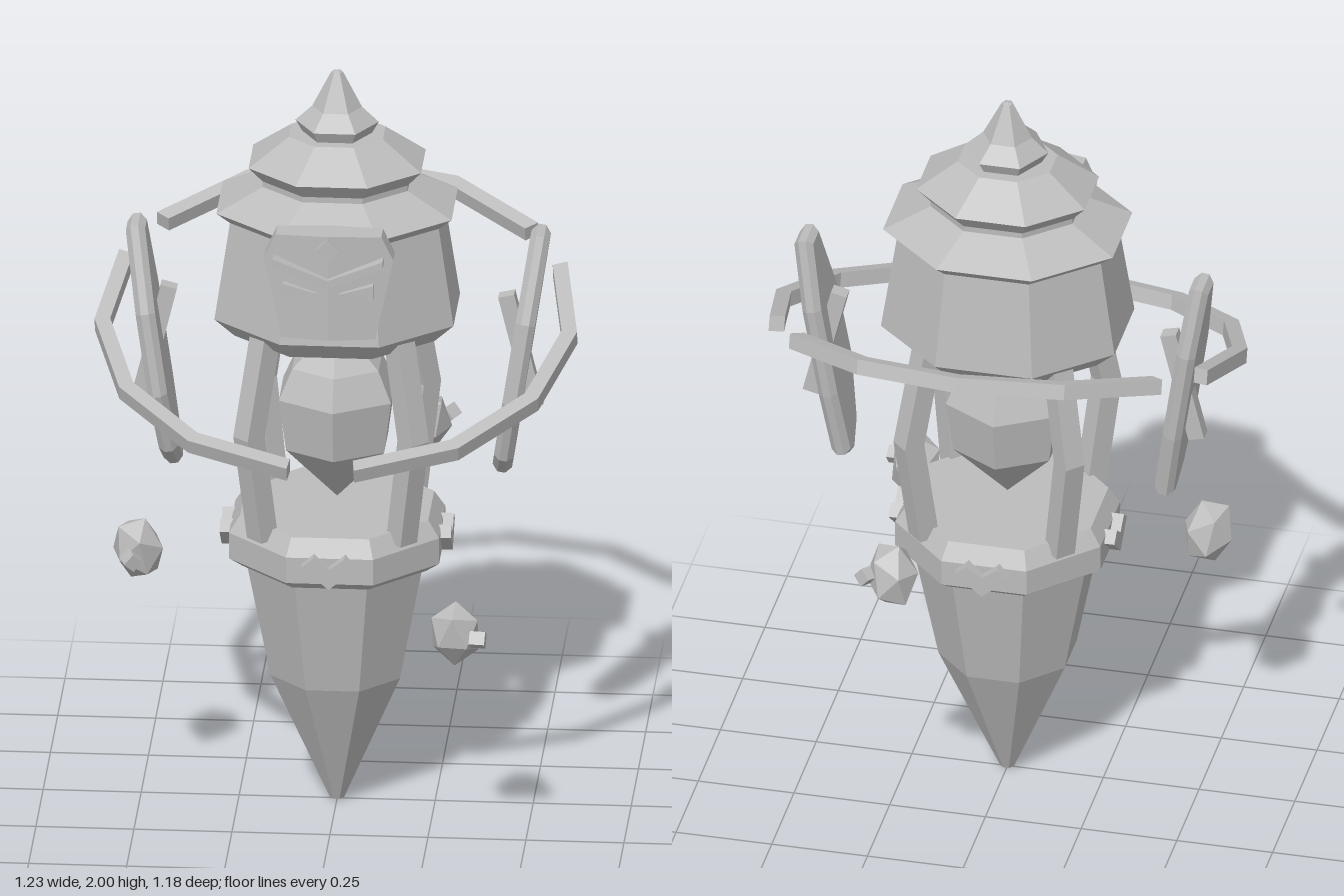
import * as THREE from 'three';

export function createModel() {
  const model = new THREE.Group();
  const stone = new THREE.MeshStandardMaterial({ color: 0xbcbcbc, flatShading: true });
  stone.name = 'grey stone';

  const add = (name, geometry, parent = model) => {
    const mesh = new THREE.Mesh(geometry, stone);
    mesh.name = name;
    parent.add(mesh);
    return mesh;
  };
  const group = (name, parent = model) => {
    const g = new THREE.Group();
    g.name = name;
    parent.add(g);
    return g;
  };
  const vecs = (pts) => pts.map(([x, y]) => new THREE.Vector2(x, y));
  const extrude = (pts, depth, bevel = 0) => new THREE.ExtrudeGeometry(new THREE.Shape(vecs(pts)), {
    depth, bevelEnabled: bevel > 0, bevelSize: bevel, bevelThickness: bevel, bevelOffset: -bevel, bevelSegments: 1,
  });
  // Faceted turning; profile widths are measured to the flats, listed bottom to top
  const turned = (pts, sides = 8, start = Math.PI / 8) =>
    new THREE.LatheGeometry(vecs(pts.map(([r, y]) => [r / Math.cos(Math.PI / sides), y])), sides, start);

  // Lower spike and belt
  add('lowerSpike', turned([[0, 0], [0.018, 0.005], [0.165, 0.36], [0.225, 0.68], [0, 0.68]]));
  add('belt', turned([[0, 0.67], [0.235, 0.67], [0.268, 0.695], [0.268, 0.765], [0.24, 0.81], [0, 0.81]]));
  for (let i = 0; i < 4; i++) {
    const g = extrude([[0, 0.69], [0.07, 0.75], [0.04, 0.775], [0, 0.745], [-0.04, 0.775], [-0.07, 0.75]], 0.04);
    g.translate(0, 0, 0.255).rotateY(i * Math.PI / 2);
    add('beltChevron', g);
  }

  // Four bent pillars on the diagonals
  for (let i = 0; i < 4; i++) {
    const g = extrude([[0.222, 0.78], [0.279, 0.78], [0.325, 1.07], [0.268, 1.34], [0.212, 1.34], [0.267, 1.07]], 0.056);
    g.translate(0, 0, -0.028).rotateY(Math.PI / 4 + i * Math.PI / 2);
    add('pillar', g);
  }

  // Floating core
  add('core', turned([[0, 0.83], [0.125, 0.98], [0.143, 1.12], [0.11, 1.2], [0, 1.31]], 6, 0));

  // Head with stepped roof
  const head = group('head');
  head.scale.z = 0.89;
  add('headBlock', turned([[0, 1.3], [0.255, 1.3], [0.305, 1.35], [0.265, 1.62], [0, 1.62]]), head);
  add('roof', turned([[0, 1.6], [0.26, 1.605], [0.3, 1.64], [0.185, 1.7], [0.185, 1.715], [0.22, 1.755], [0.12, 1.83], [0, 1.83]]), head);
  add('finial', turned([[0, 1.82], [0.075, 1.825], [0.092, 1.86], [0.055, 1.9], [0.013, 1.995], [0, 2]], 6, Math.PI / 6), model);

  // Creased face mask
  const mask = group('mask');
  for (const s of [1, -1]) {
    const half = extrude([[0, 1.385], [0.12, 1.385], [0.165, 1.6], [0.135, 1.665], [0, 1.67]].map(([x, y]) => [s * x, y]), 0.08);
    half.translate(0, 0, 0.24);
    const p = half.attributes.position;
    for (let i = 0; i < p.count; i++) {
      if (p.getZ(i) > 0.3) p.setZ(i, 0.32 - Math.abs(p.getX(i)) * 0.15);
    }
    add('maskHalf', half, mask);
    const brow = extrude([[0, 1.53], [0.14, 1.59], [0.14, 1.61], [0, 1.555]].map(([x, y]) => [s * x, y]), 0.04);
    add('brow', brow.translate(0, 0, 0.295), mask);
    const eye = extrude([[0.03, 1.515], [0.115, 1.54], [0.115, 1.5], [0.1, 1.5], [0.095, 1.515]].map(([x, y]) => [s * x, y]), 0.03);
    add('eye', eye.translate(0, 0, 0.295), mask);
  }
  add('browGem', extrude([[0, 1.605], [0.03, 1.635], [0, 1.665], [-0.03, 1.635]], 0.03).translate(0, 0, 0.3), mask);

  // Side shields, each crossed by a slim bar
  for (const s of [1, -1]) {
    const shield = group(s > 0 ? 'leftShield' : 'rightShield');
    const plate = extrude([[-0.02, -0.33], [0.05, -0.27], [0.1, -0.1], [0.08, 0.12], [0, 0.335], [-0.085, 0.335],
      [-0.115, 0.14], [-0.1, -0.12], [-0.07, -0.31]].map(([z, y]) => [-z, y]), 0.02, 0.015);
    plate.translate(0, 0, -0.01).rotateY(Math.PI / 2);
    const plateMesh = add('shieldPlate', plate, shield);
    plateMesh.rotation.z = -0.152 * s;
    const bar = add('shieldBar', new THREE.BoxGeometry(0.042, 0.31, 0.038), shield);
    bar.position.set(0, 0.01, -0.03);
    bar.rotation.z = 0.24 * s;
    shield.position.set(0.467 * s, 1.225, 0);
  }

  // Tilted broken ring in three arcs
  const ring = group('brokenRing');
  for (const start of [-22, 98, -142]) {
    const outer = [], inner = [];
    for (let k = 0; k < 5; k++) {
      const a = THREE.MathUtils.degToRad(start + 26 * k);
      outer.push([0.617 * Math.cos(a), -0.617 * Math.sin(a)]);
      inner.unshift([0.577 * Math.cos(a), -0.577 * Math.sin(a)]);
    }
    add('ringArc', extrude([...outer, ...inner], 0.04).translate(0, 0, -0.02).rotateX(-Math.PI / 2), ring);
  }
  ring.position.y = 1.312;
  ring.rotation.x = 0.32;

  // Drifting rocks with a small crystal on each
  [[-0.5, 0.715, 0.105, 0.3], [0.33, 0.62, 0.39, 1.5], [0.19, 0.845, -0.48, 2.6]].forEach(([x, y, z, turn]) => {
    const rock = group('driftingRock');
    const g = new THREE.IcosahedronGeometry(0.085, 0);
    g.scale(0.8, 1.08, 0.82);
    add('rockBody', g, rock);
    const chip = add('rockCrystal', new THREE.BoxGeometry(0.035, 0.035, 0.04), rock);
    chip.position.set(-0.03, 0.01, 0.062);
    chip.rotation.z = 0.6;
    rock.position.set(x, y, z);
    rock.rotation.set(0.15, turn, 0.2);
  });

  return model;
}
